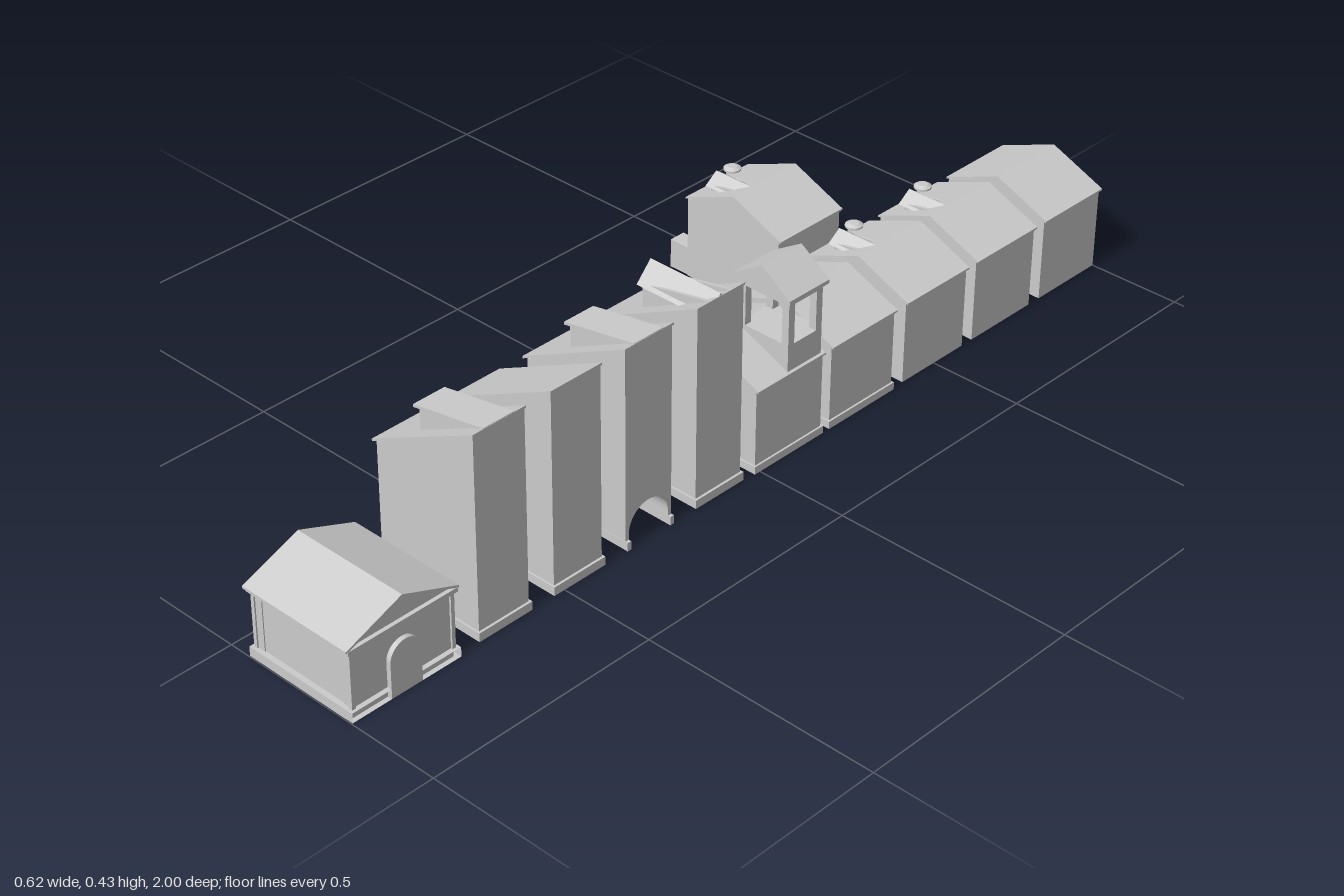
import * as THREE from 'three';

const mat = new THREE.MeshStandardMaterial({ color: 0xcccccc, flatShading: true, side: THREE.DoubleSide });
const smooth = new THREE.MeshStandardMaterial({ color: 0xcccccc, side: THREE.DoubleSide });

function add(parent, name, geo, m = mat) {
  const mesh = new THREE.Mesh(geo, m);
  mesh.name = name;
  parent.add(mesh);
  return mesh;
}

// box given by its min and max on each axis
function box(parent, name, x0, x1, y0, y1, z0, z1) {
  return add(parent, name, new THREE.BoxGeometry(x1 - x0, y1 - y0, z1 - z0)
    .translate((x0 + x1) / 2, (y0 + y1) / 2, (z0 + z1) / 2));
}

const poly = pts => new THREE.Shape(pts.map(p => new THREE.Vector2(...p)));

// x-y profile extruded along z
function alongZ(parent, name, pts, z0, z1) {
  const g = new THREE.ExtrudeGeometry(poly(pts), { depth: z1 - z0, bevelEnabled: false });
  return add(parent, name, g.translate(0, 0, z0));
}

// z-y shape extruded from x0 to x1
function alongX(parent, name, shape, x0, x1) {
  const g = new THREE.ExtrudeGeometry(shape, { depth: x1 - x0, bevelEnabled: false, curveSegments: 10 });
  return add(parent, name, g.rotateY(-Math.PI / 2).translate(x1, 0, 0));
}

// wall outline with an optional doorway [centre, width, height, round] cut up from the ground
function wallShape(half, h, door) {
  const s = new THREE.Shape();
  s.moveTo(-half, 0);
  if (door) {
    const [c, w, dh, round] = door, r = w / 2;
    s.lineTo(c - r, 0);
    if (round) {
      s.lineTo(c - r, dh - r);
      s.absarc(c, dh - r, r, Math.PI, 0, true);
    } else {
      s.lineTo(c - r, dh);
      s.lineTo(c + r, dh);
    }
    s.lineTo(c + r, 0);
  }
  s.lineTo(half, 0);
  s.lineTo(half, h);
  s.lineTo(-half, h);
  return s;
}

// facade panel with window holes [z, y, w, h], and their sills
function facade(g, half, h, door, windows, x) {
  const s = wallShape(half, h, door);
  for (const [z, y, w, wh] of windows) {
    const a = z - w / 2, b = z + w / 2, c = y - wh / 2, d = y + wh / 2;
    s.holes.push(new THREE.Path([[a, c], [a, d], [b, d], [b, c]].map(p => new THREE.Vector2(...p))));
    box(g, 'windowSill', x - 0.004, x + 0.004, c - 0.004, c, a - 0.003, b + 0.003);
    box(g, 'windowBar', x + 0.004, x + 0.007, c, d, z - 0.001, z + 0.001);
  }
  alongX(g, 'facade', s, x, x + 0.01);
}

// small dormer: gabled, or with a lean-to roof
function dormer(g, xf, xb, yBase, yEave, yTop, z, w, gabled) {
  box(g, 'dormerFront', xf, xf + 0.006, yBase, yEave, z - w / 2, z + w / 2);
  for (const s of [-1, 1]) {
    const zc = z + s * (w / 2 - 0.003);
    alongZ(g, 'dormerCheek', [[xf, yBase], [xb, yTop - 0.004], [xf, yEave]], zc - 0.003, zc + 0.003);
  }
  const r = w / 2 + 0.006;
  if (gabled) {
    alongX(g, 'dormerRoof', poly([[z - r, yEave - 0.003], [z + r, yEave - 0.003], [z, yTop]]), xf - 0.009, xb);
  } else {
    alongZ(g, 'dormerRoof', [[xf - 0.009, yEave - 0.004], [xb, yTop - 0.004], [xb, yTop], [xf - 0.009, yEave + 0.002]], z - r, z + r);
  }
}

function chimney(g, z) {
  const pts = [[0.034, 0], [0.032, 0.025], [0.022, 0.05], [0.014, 0.08], [0.012, 0.185], [0.018, 0.187],
    [0.018, 0.191], [0.010, 0.195], [0, 0.195]].map(p => new THREE.Vector2(...p));
  add(g, 'chimney', new THREE.LatheGeometry(pts, 16), mat).position.set(0.053, 0, z);
}

// side steps climbing to a landing in front of the wall
function stairs(g, z0, z1) {
  const mid = z0 + (z1 - z0) * 0.45, n = 4;
  box(g, 'landing', 0.01, 0.06, 0, 0.063, mid, z1);
  for (let i = 0; i < n; i++) {
    const w = (mid - z0) / n;
    box(g, 'step', 0.01, 0.06, 0, 0.063 * (i + 1) / (n + 1), z0 + i * w, z0 + (i + 1) * w);
  }
}

function house(name, z0, z1, door, windows, plinth) {
  const g = new THREE.Group(), h = (z1 - z0) / 2;
  g.name = name;
  g.position.z = (z0 + z1) / 2;
  facade(g, h, 0.178, door, windows, 0.058);
  alongZ(g, 'houseBody', [[0.067, 0], [0.298, 0], [0.298, 0.178], [0.18, 0.226], [0.067, 0.18]], -h, h);
  alongZ(g, 'houseRoof', [[0.053, 0.176], [0.18, 0.227], [0.304, 0.175], [0.304, 0.179], [0.18, 0.231], [0.053, 0.18]],
    -h - 0.002, h + 0.002);
  if (plinth) box(g, 'plinth', 0.066, 0.302, 0, 0.016, -h - 0.004, h + 0.004);
  return g;
}

function tallHouse(name, z0, z1, door, windows, dormerKind, passage) {
  const g = new THREE.Group(), h = (z1 - z0) / 2, x = 0.053;
  const base = passage ? 0.12 : 0;
  g.name = name;
  g.position.z = (z0 + z1) / 2;
  facade(g, h, 0.296, door, windows, x);
  if (passage) alongX(g, 'archPassage', wallShape(h, base, door), x + 0.009, 0.293);
  alongZ(g, 'tallBody', [[x + 0.009, base], [0.293, base], [0.293, 0.416], [x + 0.009, 0.299]], -h, h);
  alongZ(g, 'tallRoof', [[0.043, 0.291], [0.295, 0.417], [0.295, 0.422], [0.043, 0.296]], -h - 0.002, h + 0.002);
  // plinth, left open at the doorway
  const s = wallShape(h + 0.004, 0.018, null);
  if (passage) {
    for (const e of [-1, 1]) box(g, 'plinth', 0.046, 0.299, 0, 0.018, e * (h - 0.0035) - 0.0045, e * (h - 0.0035) + 0.0045);
  } else alongX(g, 'plinth', s, x + 0.009, 0.298);
  if (dormerKind) dormer(g, 0.133, 0.293, 0.335, 0.39, dormerKind === 'gable' ? 0.426 : 0.422, 0, 0.06, dormerKind === 'gable');
  return g;
}

// open bell tower standing on a house roof
function bellTower(g, z0, z1) {
  const x0 = 0.178, x1 = 0.299, t = 0.016, xm = (x0 + x1) / 2;
  box(g, 'towerBase', x0, x1, 0.18, 0.236, z0, z1);
  for (const x of [x0, x1 - t]) for (const z of [z0, z1 - t]) box(g, 'towerPost', x, x + t, 0.23, 0.325, z, z + t);
  box(g, 'towerBeam', x0, x1, 0.32, 0.336, z0, z1);
  alongZ(g, 'towerRoof', [[0.17, 0.335], [0.307, 0.33], [0.307, 0.338], [xm, 0.385], [0.168, 0.341]], z0 - 0.008, z1 + 0.008);
}

function temple() {
  const g = new THREE.Group(), door = [0, 0.07, 0.107, true];
  g.name = 'pedimentHall';
  g.position.z = 0.875;
  box(g, 'hallCore', 0.075, 0.275, 0, 0.14, -0.112, 0.112);
  for (const x of [0.056, 0.274]) {
    alongX(g, 'archedEnd', wallShape(0.114, 0.14, door), x, x + 0.02);
    alongX(g, 'pediment', poly([[-0.115, 0.143], [0.115, 0.143], [0, 0.19]]), x, x + 0.02);
  }
  alongX(g, 'plinth', wallShape(0.123, 0.02, door), 0.046, 0.304);
  for (const x of [0.052, 0.29]) for (const z of [-0.117, 0.109]) box(g, 'cornerPilaster', x, x + 0.008, 0.018, 0.14, z, z + 0.008);
  box(g, 'cornice', 0.046, 0.302, 0.136, 0.145, -0.122, 0.122);
  alongX(g, 'hallRoof', poly([[-0.126, 0.142], [0, 0.19], [0.126, 0.142], [0.126, 0.147], [0, 0.196], [-0.126, 0.147]]), 0.043, 0.301);
  return g;
}

const pairs = (ys, dz, w = 0.026, h = 0.042) => ys.flatMap(y => [-dz, dz].map(z => [z, y, w, h]));

function stairHouse(name, z0, z1) {
  const g = house(name, z0, z1, null, [[0.066, 0.094, 0.028, 0.06], [0.015, 0.14, 0.025, 0.036], [0.015, 0.07, 0.025, 0.036]], false);
  chimney(g, -0.045);
  stairs(g, 0.02, 0.087);
  dormer(g, 0.092, 0.18, 0.185, 0.21, 0.229, 0.035, 0.05, true);
  return g;
}

export function createModel() {
  const model = new THREE.Group();
  model.name = 'streetOfHouses';

  // end house with stairs
  const end = house('endHouse', -1, -0.825, [-0.045, 0.04, 0.06, true],
    [[-0.05, 0.135, 0.026, 0.042], [0, 0.135, 0.026, 0.042], [0.062, 0.094, 0.028, 0.06]], false);
  stairs(end, 0.005, 0.087);

  // house with a rounded doorstep
  const round = house('roundStepHouse', -0.793, -0.615, [0.04, 0.032, 0.07, false],
    [[0.04, 0.135, 0.026, 0.042], [0, 0.135, 0.026, 0.042], [0, 0.06, 0.024, 0.036]], false);
  chimney(round, -0.045);
  add(round, 'roundStep', new THREE.CylinderGeometry(0.038, 0.038, 0.005, 24).scale(1.45, 1, 1), smooth).position.set(0.057, 0.0025, 0.04);
  dormer(round, 0.092, 0.18, 0.185, 0.21, 0.229, 0.035, 0.05, true);

  // stair houses, one of them across the street
  const stair = stairHouse('stairHouse', -0.585, -0.407);
  const across = stairHouse('houseAcross', -0.585, -0.407);
  across.position.x = -0.32;

  // plain house and bell tower house
  const row = y => [-0.055, 0, 0.055].map(z => [z, y, 0.028, 0.045]);
  const plain = house('plainHouse', -0.373, -0.195, [0, 0.03, 0.075, false],
    [...row(0.135), [-0.055, 0.06, 0.028, 0.04], [0.055, 0.06, 0.028, 0.04]], true);
  const bell = house('bellTowerHouse', -0.17, 0.01, [0, 0.045, 0.08, true],
    [...row(0.135), [-0.058, 0.06, 0.026, 0.04], [0.058, 0.06, 0.026, 0.04]], true);
  bellTower(bell, -0.083, 0.008);

  // tall narrow houses
  const low = [0, 0.034, 0.07, false];
  model.add(
    end, round, stair, across, plain, bell,
    tallHouse('tallHouseA', 0.045, 0.163, low, pairs([0.235, 0.14], 0.03), 'gable'),
    tallHouse('archHouse', 0.227, 0.343, [0, 0.1, 0.08, true], pairs([0.235, 0.15], 0.03), 'lean', true),
    tallHouse('tallHouseB', 0.403, 0.521, low, [...pairs([0.235], 0.03), [0, 0.14, 0.03, 0.042]], null),
    tallHouse('tallHouseC', 0.582, 0.7, low, pairs([0.235, 0.14], 0.03), 'lean'),
    temple(),
  );
  return model;
}
